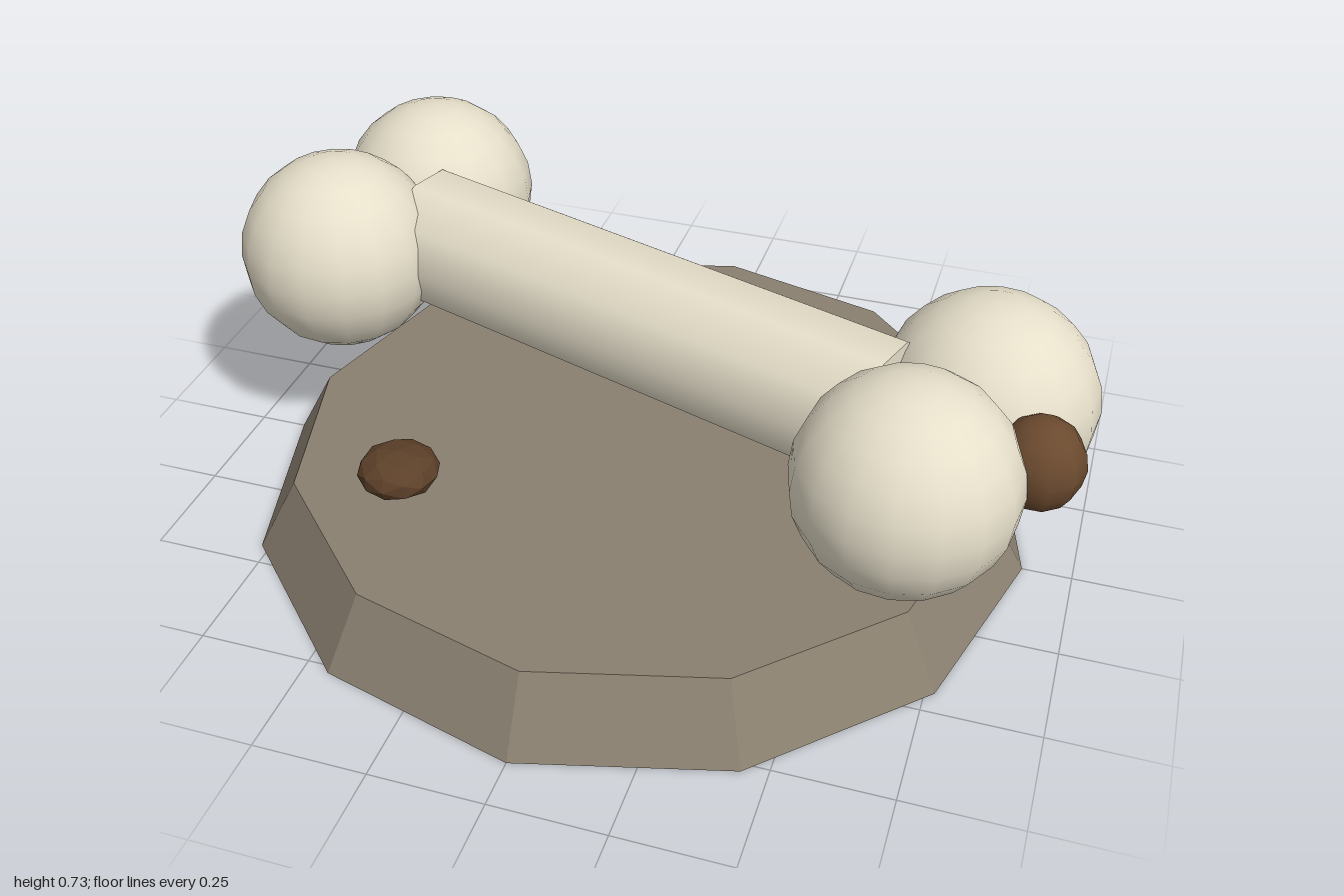
import * as THREE from 'three';

const mat = (color, flatShading = false) => new THREE.MeshStandardMaterial({ color, flatShading });

export function createModel() {
  const model = new THREE.Group();
  const stone = mat(0x8a8070, true);
  const ivory = mat(0xe6dfca);
  const pebbleBrown = mat(0x5c4029, true);
  const knotBrown = mat(0x6b4a2f);

  const add = (name, geometry, material, parent, x, y, z) => {
    const mesh = new THREE.Mesh(geometry, material);
    mesh.name = name;
    mesh.position.set(x, y, z);
    parent.add(mesh);
    return mesh;
  };

  // Twelve-sided tapered plinth
  add('plinth', new THREE.CylinderGeometry(0.8, 0.89, 0.165, 12), stone, model, 0, 0.0825, 0);

  // Bone: shaft along x with two knobs at each end, turned as one
  const bone = new THREE.Group();
  bone.name = 'bone';
  bone.position.y = 0.495;
  bone.rotation.y = -0.32;
  model.add(bone);

  const shaft = new THREE.CylinderGeometry(0.16, 0.16, 1.24, 10);
  shaft.rotateZ(Math.PI / 2);
  add('shaft', shaft, ivory, bone, 0, 0, 0);

  const knob = new THREE.SphereGeometry(0.231, 16, 12);
  for (const end of [-1, 1]) {
    for (const side of [-1, 1]) {
      add('knob', knob, ivory, bone, end * 0.752, 0, side * 0.172);
    }
  }

  // Brown lump between the knobs of the left end
  add('lump', new THREE.SphereGeometry(0.1, 10, 8), knotBrown, model, 0.9, 0.52, 0.295)
    .scale.set(0.92, 1, 0.92);

  // Flattened pebbles resting on the plinth
  const pebble = new THREE.IcosahedronGeometry(0.092, 1);
  for (const [x, z] of [[-0.42, -0.535], [0.53, -0.275], [-0.46, 0.34]]) {
    add('pebble', pebble, pebbleBrown, model, x, 0.215, z).scale.y = 0.57;
  }

  return model;
}
